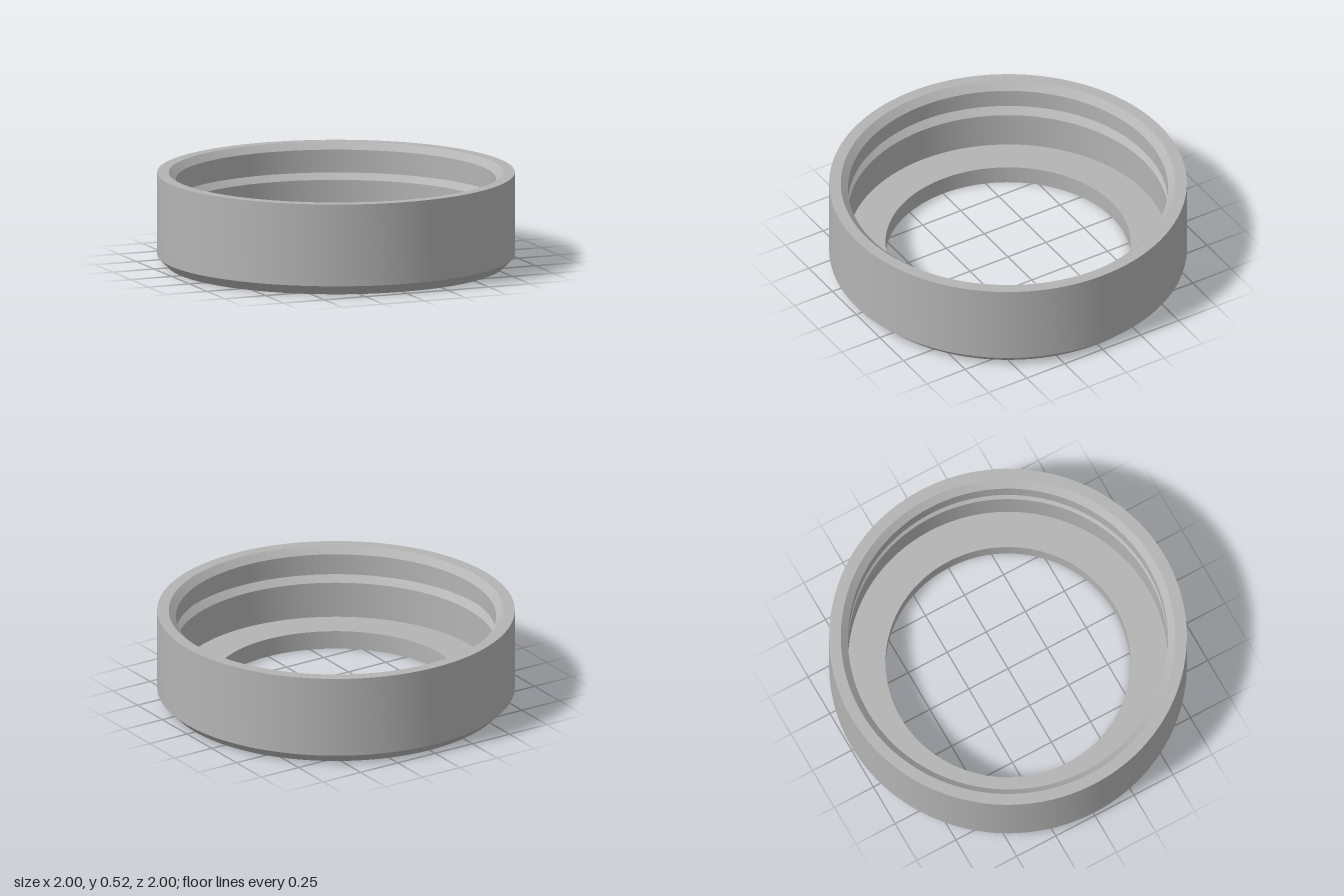
import * as THREE from 'three';
import { toCreasedNormals } from 'three/addons/utils/BufferGeometryUtils.js';

export function createModel() {
  const group = new THREE.Group();
  group.name = 'retainingRing';

  const greyMetal = new THREE.MeshStandardMaterial({ color: 0xb4b4b4 });
  greyMetal.name = 'grey metal';

  // Closed cross-section [radius, height], up the outside and down the inside
  const section = [
    [0.685, 0], [0.945, 0],       // underside
    [1, 0.055], [1, 0.52],        // bottom chamfer and outer wall
    [0.935, 0.52], [0.895, 0.483], // top rim and inner chamfer
    [0.895, 0.38], [0.935, 0.38], // upper lip and flat roof of the groove
    [0.935, 0.346], [0.895, 0.311], // groove wall and sloping lower side
    [0.895, 0.105], [0.685, 0.105], // inner wall and shelf
    [0.685, 0],                   // bore
  ].map(([r, y]) => new THREE.Vector2(r, y));

  const geometry = toCreasedNormals(new THREE.LatheGeometry(section, 128), Math.PI / 8);
  const ring = new THREE.Mesh(geometry, greyMetal);
  ring.name = 'ringBody';
  group.add(ring);
  return group;
}
